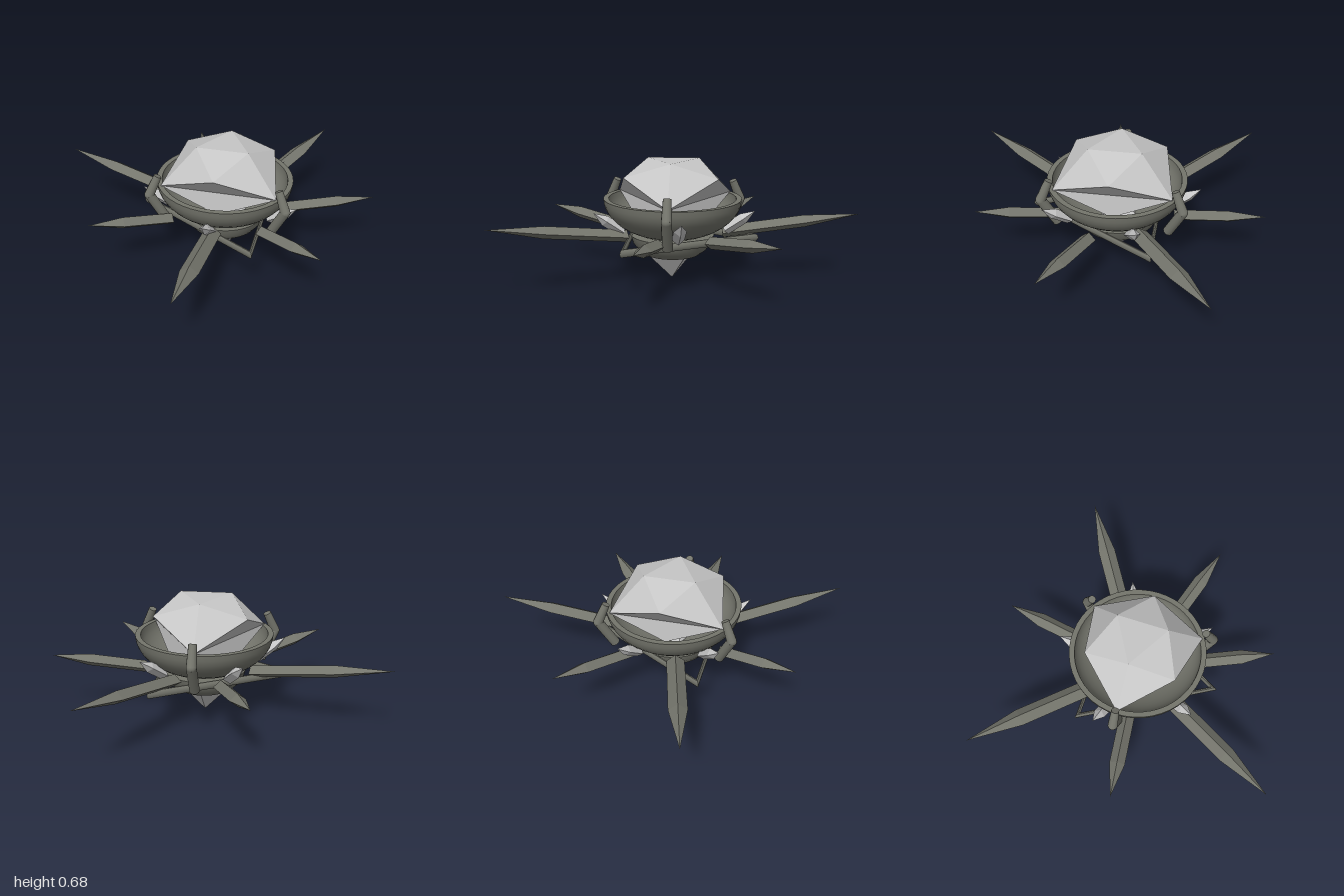
import * as THREE from 'three';
import { toCreasedNormals } from 'three/addons/utils/BufferGeometryUtils.js';

export function createModel() {
  const model = new THREE.Group();
  const metal = new THREE.MeshStandardMaterial({ color: 0x74756c });
  const crystal = new THREE.MeshStandardMaterial({ color: 0xc6c6c6 });
  metal.name = 'dark metal';
  crystal.name = 'pale crystal';

  // everything is arranged around the bowl's axis
  const jewel = new THREE.Group();
  jewel.name = 'jewel';
  jewel.position.set(0.1, 0, -0.063);
  model.add(jewel);

  const add = (name, geometry, material, parent = jewel) => {
    const mesh = new THREE.Mesh(geometry, material);
    mesh.name = name;
    parent.add(mesh);
    return mesh;
  };
  const faceted = (geometry) => {
    const g = geometry.index ? geometry.toNonIndexed() : geometry;
    g.computeVertexNormals();
    return g;
  };
  const lathe = (points, sides) =>
    new THREE.LatheGeometry(points.map(([r, y]) => new THREE.Vector2(r, y)), sides);

  // bowl: flattened half sphere with an inner wall
  const bowl = [];
  for (let i = 0; i <= 12; i++) {
    const a = (i / 12) * Math.PI / 2;
    bowl.push([0.385 * Math.sin(a), 0.468 - 0.232 * Math.cos(a)]);
  }
  for (let i = 12; i >= 0; i--) {
    const a = (i / 12) * Math.PI / 2;
    bowl.push([0.355 * Math.sin(a), 0.468 - 0.205 * Math.cos(a)]);
  }
  add('bowl', toCreasedNormals(lathe(bowl, 48), 0.7), metal);

  // collar below the bowl
  const collar = [[0, 0.15], [0.155, 0.15], [0.195, 0.18], [0.222, 0.215], [0.235, 0.26], [0, 0.26]];
  add('collar', toCreasedNormals(lathe(collar, 48), 0.6), metal);

  // pointed crystal underneath
  add('lowerCrystal', new THREE.OctahedronGeometry(0.2).translate(0, 0.203, 0), crystal);

  // triangular ring, one corner towards -x
  const ring = new THREE.TorusGeometry(0.46, 0.022, 10, 3);
  ring.rotateX(Math.PI / 2).rotateY(Math.PI).translate(0, 0.248, 0);
  add('triangleRing', toCreasedNormals(ring, 0.8), metal);

  // large gem: four triangular levels, every vertex [radius, height, turn]
  const levels = [[0.167, 0.68, 0], [0.295, 0.598, 1], [0.372, 0.472, 0], [0.2, 0.34, 1]];
  const pos = [];
  for (const [r, y, turn] of levels) {
    for (let k = 0; k < 3; k++) {
      const a = Math.PI + turn * Math.PI / 3 + k * Math.PI * 2 / 3;
      pos.push(r * Math.sin(a), y, r * Math.cos(a));
    }
  }
  const faces = [0, 1, 2, 9, 11, 10];
  for (let k = 0; k < 3; k++) {
    const n = (k + 1) % 3, p = (k + 2) % 3;
    const [t, u, l, b] = [0, 3, 6, 9];
    faces.push(t + k, u + k, t + n); // top edge to upper corner
    faces.push(t + k, l + k, u + k, t + k, u + p, l + k); // shoulders
    faces.push(u + k, l + k, l + n); // overhanging faces
    faces.push(l + k, b + k, l + n, l + k, b + p, b + k); // underside
  }
  const gem = new THREE.BufferGeometry();
  gem.setAttribute('position', new THREE.Float32BufferAttribute(pos, 3));
  gem.setIndex(faces);
  add('gem', faceted(gem), crystal);

  // four-sided shard running from (r0, y0) to (r1, y1) in the direction of an angle
  const shard = (name, material, angle, r0, y0, r1, y1, width, height, shoulder) => {
    const length = Math.hypot(r1 - r0, y1 - y0);
    const g = lathe([[0, 0], [1, 0], [1, shoulder * length], [0, length]], 4);
    g.scale(width, 1, height).rotateX(Math.PI / 2).rotateX(-Math.atan2(y1 - y0, r1 - r0));
    g.translate(0, y0, r0).rotateY(angle);
    add(name, faceted(g), material);
  };

  // long blades: tip offsets from the axis
  const tips = [
    [0.474, -0.927], [-0.33, -0.75], [-1.03, -0.257], [-0.64, 0.493],
    [-0.015, 1.048], [0.61, 0.498], [0.83, -0.172],
  ];
  for (const [x, z] of tips) {
    const r = Math.hypot(x, z);
    const long = r > 0.95;
    shard('blade', metal, Math.atan2(x, z), long ? 0.28 : 0.33, 0.275, r, 0.24 + 0.138 * r,
      long ? 0.05 : 0.043, 0.034, 0.6);
  }

  // small crystals around the bowl
  for (let k = 0; k < 5; k++) {
    shard('smallCrystal', crystal, -0.04 + k * Math.PI * 2 / 5, 0.3, 0.3, 0.462, 0.415,
      0.034, 0.03, 0.6);
  }

  // three bent claws holding the gem
  const up = new THREE.Vector3(0, 1, 0);
  const joints = [[0.35, 0.265], [0.438, 0.425], [0.387, 0.535]].map(([r, y]) => new THREE.Vector3(0, y, r));
  for (let k = 0; k < 3; k++) {
    const claw = new THREE.Group();
    claw.name = 'claw';
    claw.rotation.y = Math.PI + k * Math.PI * 2 / 3;
    jewel.add(claw);
    for (let i = 0; i < 2; i++) {
      const d = joints[i + 1].clone().sub(joints[i]);
      const rod = add('clawRod', new THREE.CylinderGeometry(i ? 0.022 : 0.028, 0.028, d.length(), 12), metal, claw);
      rod.position.copy(joints[i]).addScaledVector(d, 0.5);
      rod.quaternion.setFromUnitVectors(up, d.normalize());
    }
    add('clawKnuckle', new THREE.SphereGeometry(0.028, 12, 8), metal, claw).position.copy(joints[1]);
  }
  return model;
}
